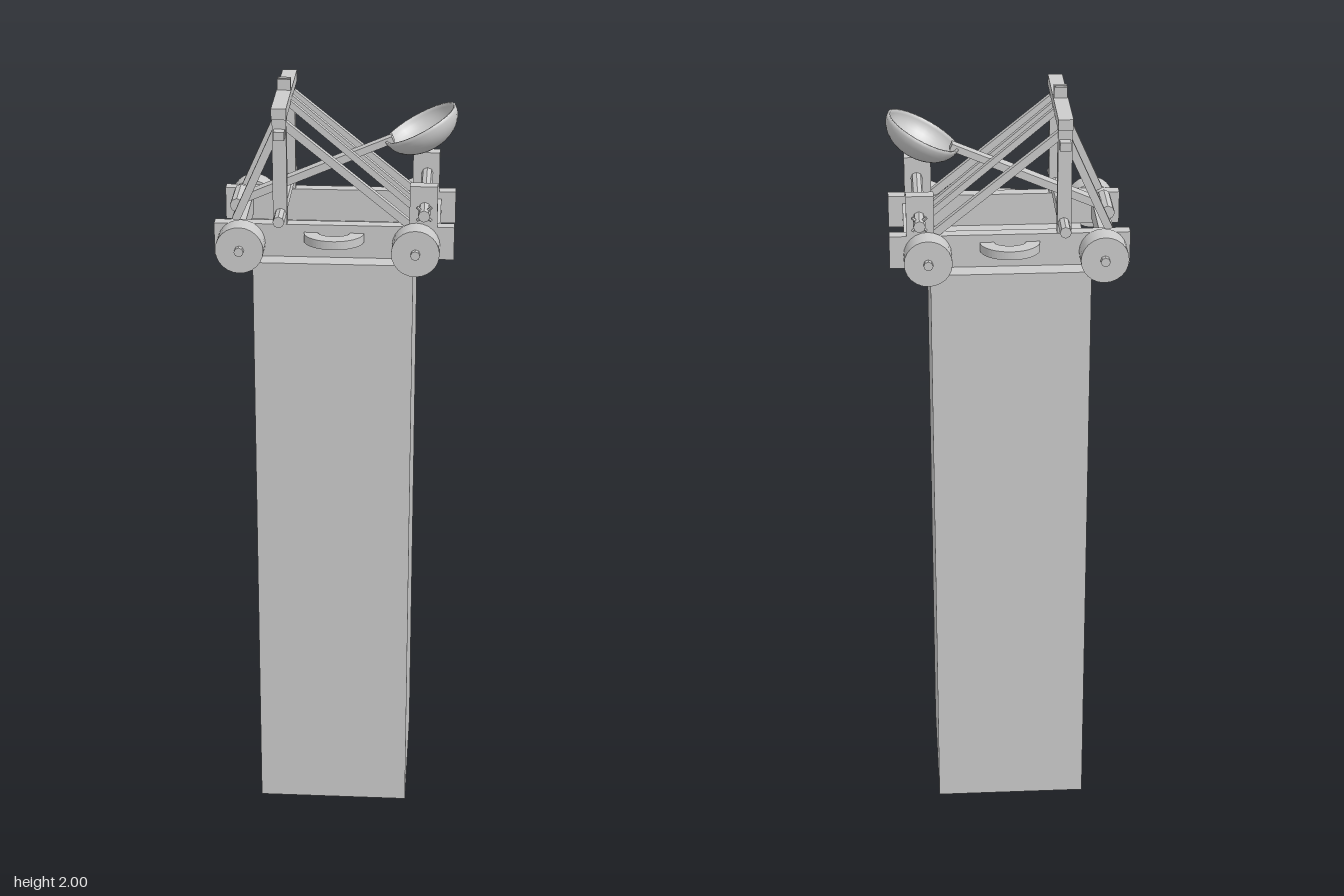
import * as THREE from 'three';

export function createModel() {
  const root = new THREE.Group();
  const mat = new THREE.MeshStandardMaterial({ color: 0xcccccc, flatShading: true });
  const smooth = new THREE.MeshStandardMaterial({ color: 0xcccccc, side: THREE.DoubleSide });

  const add = (name, geo, x = 0, y = 0, z = 0, m = mat) => {
    const mesh = new THREE.Mesh(geo, m);
    mesh.name = name;
    mesh.position.set(x, y, z);
    root.add(mesh);
    return mesh;
  };
  // Box given by its limits on each axis
  const box = (name, x0, x1, y0, y1, z0, z1) =>
    add(name, new THREE.BoxGeometry(x1 - x0, y1 - y0, z1 - z0), (x0 + x1) / 2, (y0 + y1) / 2, (z0 + z1) / 2);
  // Cylinder lying along z
  const rod = (name, r, z0, z1, x, y, sides = 8) =>
    add(name, new THREE.CylinderGeometry(r, r, z1 - z0, sides).rotateX(Math.PI / 2), x, y, (z0 + z1) / 2);
  // Square bar between two points in a plane of constant z
  const bar = (name, x0, y0, x1, y1, z, thick, width) => {
    const mesh = add(name, new THREE.BoxGeometry(Math.hypot(x1 - x0, y1 - y0), thick, width),
      (x0 + x1) / 2, (y0 + y1) / 2, z);
    mesh.rotation.z = Math.atan2(y1 - y0, x1 - x0);
    return mesh;
  };
  // Same limits on both sides, mirrored over z
  const span = (s, a, b) => (s > 0 ? [a, b] : [-b, -a]);

  // Tall pedestal
  box('pedestal', -0.2, 0.2, 0, 1.585, -0.2, 0.2);

  // Cross beams of the chassis
  box('crossBeam', -0.265, -0.228, 1.6, 1.65, -0.122, 0.122);
  box('crossBeam', 0.226, 0.263, 1.6, 1.65, -0.122, 0.122);

  // Half-ring handle outline
  const handle = new THREE.Shape();
  handle.absellipse(0, 0, 0.075, 0.065, 0, Math.PI, false);
  handle.lineTo(-0.04, 0);
  handle.absellipse(0, 0, 0.04, 0.027, Math.PI, 0, true);
  handle.closePath();
  const handleGeo = new THREE.ExtrudeGeometry(handle, { depth: 0.022, bevelEnabled: false, curveSegments: 16 })
    .rotateX(Math.PI / 2);

  for (const s of [1, -1]) {
    box('sideRail', -0.3, 0.3, 1.585, 1.67, ...span(s, 0.12, 0.151));
    box('upright', -0.152, -0.117, 1.67, 1.947, ...span(s, 0.125, 0.15));
    box('uprightPeg', -0.147, -0.12, 1.893, 1.915, ...span(s, 0.115, 0.175));
    box('winchPost', 0.188, 0.257, 1.67, 1.775, ...span(s, 0.12, 0.151));

    // Wheels on stub axles
    for (const x of [-0.232, 0.205]) {
      add('wheel', new THREE.CylinderGeometry(0.06, 0.06, 0.06, 24).rotateX(Math.PI / 2), x, 1.62, s * 0.181,
        new THREE.MeshStandardMaterial({ color: 0xcccccc }));
      rod('axle', 0.012, ...span(s, 0.12, 0.225), x, 1.62);
    }

    const grip = add('handle', handleGeo, 0, 1.65, s * 0.15);
    if (s < 0) {
      grip.rotation.y = Math.PI;
    }

    // Diagonal bracing
    bar('shortBrace', -0.247, 1.675, -0.137, 1.92, s * 0.135, 0.02, 0.018);
    bar('longBrace', -0.13, 1.93, 0.195, 1.665, s * 0.135, 0.02, 0.018);
    bar('centreBrace', -0.125, 1.95, 0.24, 1.64, s * 0.024, 0.016, 0.016);

    // Crossed pegs that turn the winch
    for (const a of [Math.PI / 4, -Math.PI / 4]) {
      const peg = add('winchPeg', new THREE.CylinderGeometry(0.004, 0.004, 0.05, 6), 0.225, 1.72, s * 0.195);
      peg.rotation.z = a;
    }
  }

  // Top beam with its split lug
  box('topBeam', -0.152, -0.115, 1.945, 1.973, -0.173, 0.173);
  for (const s of [1, -1]) {
    box('lug', -0.15, -0.117, 1.93, 2, ...span(s, 0.003, 0.013));
  }
  box('lugCore', -0.145, -0.122, 1.94, 1.99, -0.004, 0.004);

  // Rollers and winch
  rod('stopRod', 0.0145, -0.215, 0.215, -0.133, 1.697);
  rod('winchAxle', 0.015, -0.215, 0.215, 0.225, 1.72);
  rod('pivotRoller', 0.018, -0.057, 0.057, -0.252, 1.684);

  // Throwing arm, slimmer toward the bowl
  const bx = -0.245, by = 1.684, mx = 0.035, my = 1.805;
  bar('armBase', bx, by, mx, my, 0, 0.02, 0.034);
  bar('armTip', mx, my, 0.14, 1.85, 0, 0.018, 0.028);

  // Bowl: outer curve, rim, inner curve
  const profile = [];
  for (let i = 0; i <= 12; i++) {
    const a = (i / 12) * Math.PI / 2;
    profile.push(new THREE.Vector2(0.1 * Math.sin(a), -0.071 * Math.cos(a)));
  }
  for (let i = 12; i >= 0; i--) {
    const a = (i / 12) * Math.PI / 2;
    profile.push(new THREE.Vector2(0.094 * Math.sin(a), -0.065 * Math.cos(a)));
  }
  const bowl = add('bowl', new THREE.LatheGeometry(profile, 28), 0.207, 1.891, 0, smooth);
  bowl.rotation.z = 0.5;
  bowl.scale.z = 0.95;

  return root;
}
